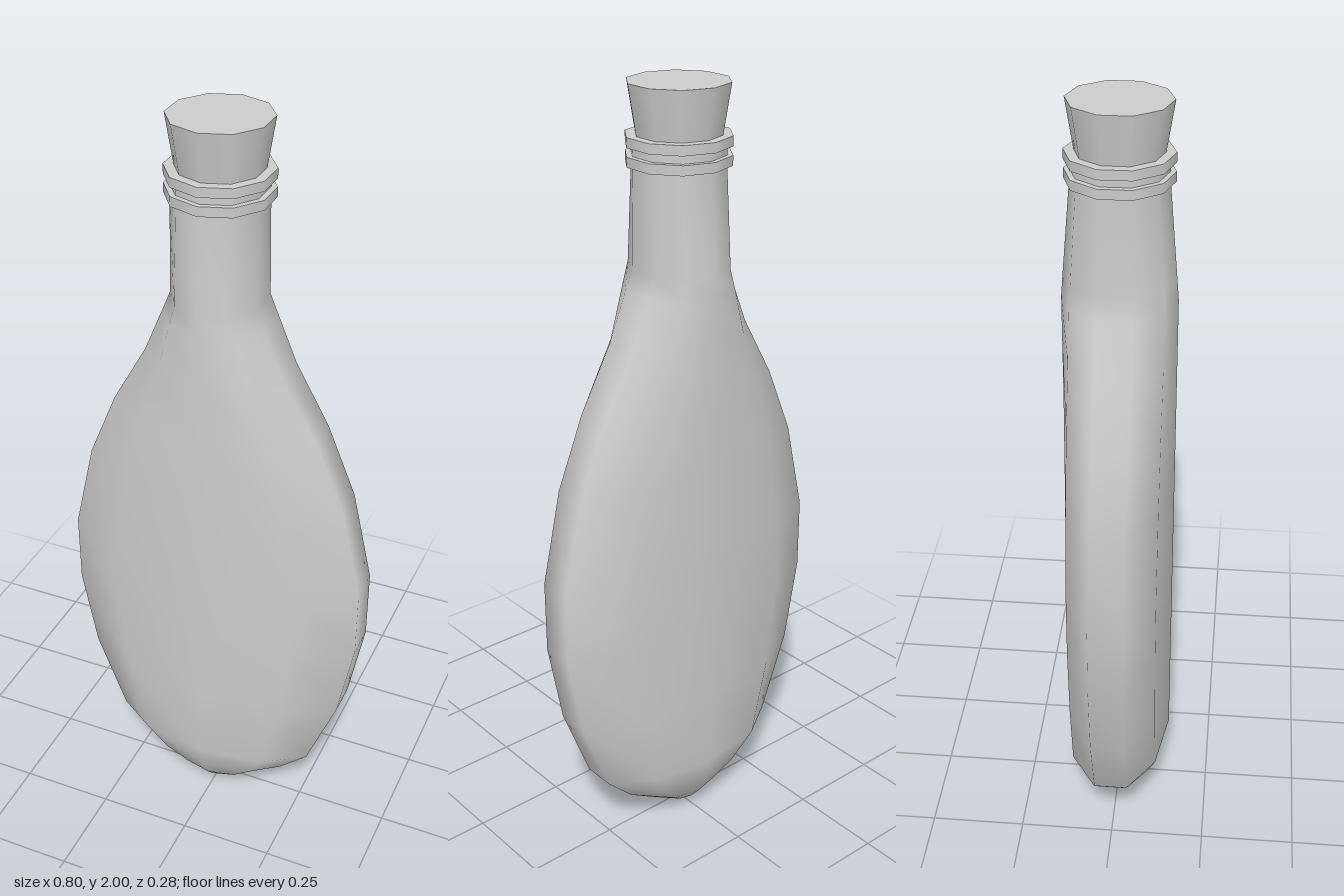
import * as THREE from 'three';
import { mergeVertices } from 'three/addons/utils/BufferGeometryUtils.js';

const SIDES = 10;
const material = new THREE.MeshStandardMaterial({ color: 0xcccccc });

// Rings of the flattened body: [half-width in x, half-depth in z, height]
const RINGS = [
  [0, 0, 0.005], [0.05, 0.05, 0.025], [0.115, 0.085, 0.065], [0.2, 0.112, 0.12], [0.28, 0.14, 0.2],
  [0.36, 0.14, 0.41], [0.4, 0.14, 0.63], [0.4, 0.14, 0.82], [0.345, 0.14, 1.06],
  [0.27, 0.14, 1.24], [0.18, 0.14, 1.4], [0.13, 0.14, 1.52], [0.11, 0.136, 1.57],
  [0.109, 0.117, 1.8], [0.109, 0.115, 1.87],
];

// Ten-sided lathe, its depth then pressed flat ring by ring
function bodyGeometry() {
  const flat = Math.cos(Math.PI / SIDES); // widest x of a decagon with corners on z
  const profile = RINGS.map(([w, , y]) => new THREE.Vector2(w / flat, y));
  const lathe = new THREE.LatheGeometry(profile, SIDES);
  const pos = lathe.attributes.position;
  for (let i = 0; i < pos.count; i++) {
    const [w, d] = RINGS[i % RINGS.length];
    if (w > 0) pos.setZ(i, pos.getZ(i) * d * flat / w);
  }
  lathe.deleteAttribute('uv');
  lathe.deleteAttribute('normal');
  const geometry = mergeVertices(lathe, 1e-4);
  geometry.computeVertexNormals();
  return geometry;
}

export function createModel() {
  const model = new THREE.Group();
  model.name = 'flask';

  const add = (name, geometry, y = 0) => {
    const mesh = new THREE.Mesh(geometry, material);
    mesh.name = name;
    mesh.position.y = y;
    model.add(mesh);
  };

  add('body', bodyGeometry());

  // Two raised bands around the mouth
  add('lowerBand', new THREE.CylinderGeometry(0.129, 0.129, 0.024, SIDES), 1.823);
  add('upperBand', new THREE.CylinderGeometry(0.129, 0.129, 0.024, SIDES), 1.868);

  // Tapered stopper
  add('cork', new THREE.CylinderGeometry(0.124, 0.1, 0.15, SIDES), 1.925);

  // Rest the pointed base on the ground
  model.children[0].position.y = -0.005;
  return model;
}
